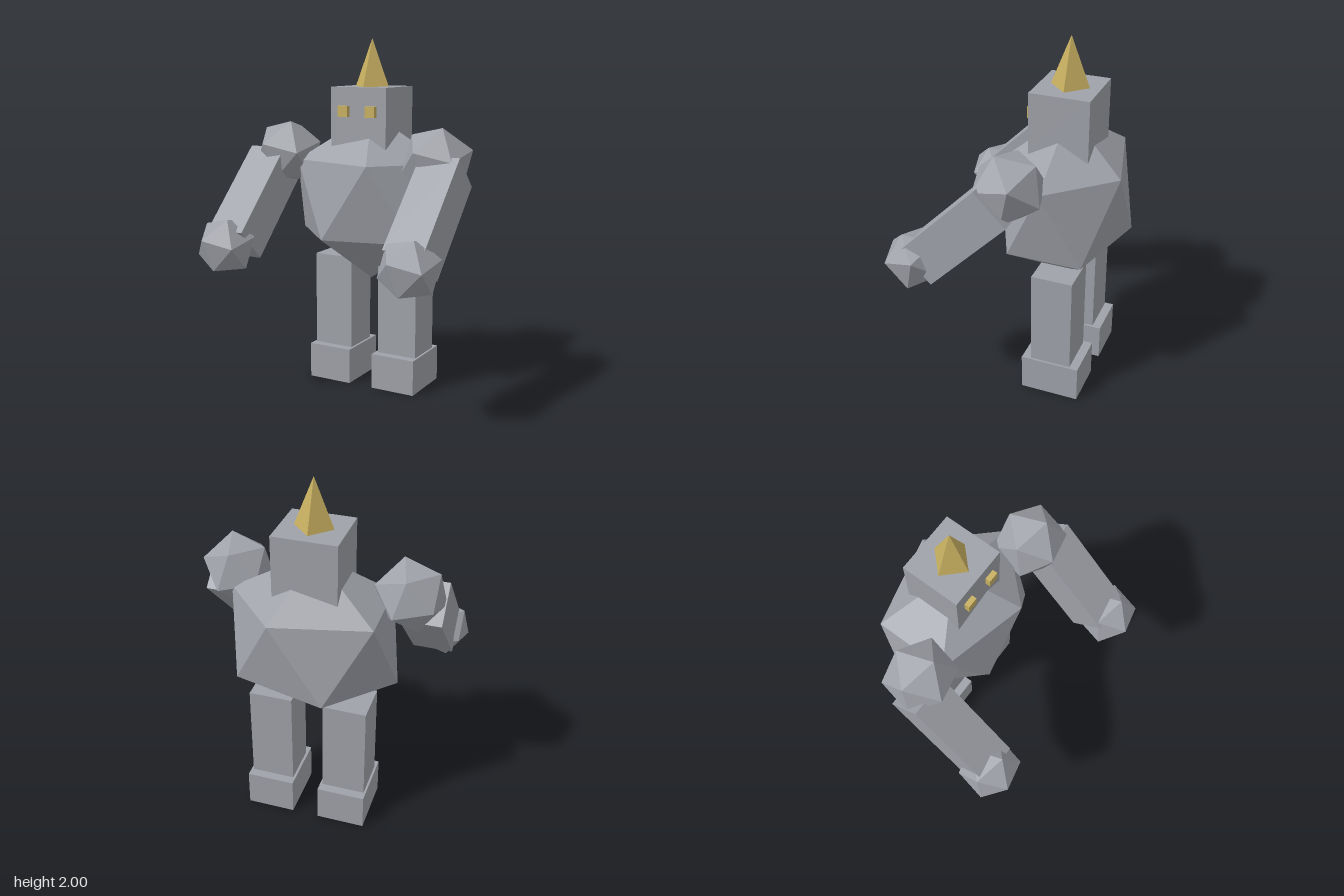
import * as THREE from 'three';

export function createModel() {
  const stone = new THREE.MeshStandardMaterial({ color: 0x9fa2a9, flatShading: true });
  stone.name = 'grey stone';
  const gold = new THREE.MeshStandardMaterial({ color: 0xc8b061, flatShading: true });
  gold.name = 'gold';

  const model = new THREE.Group();
  model.name = 'stoneGolem';
  const figure = new THREE.Group();
  figure.name = 'figure';
  figure.position.set(-0.025, 0, -0.247);
  figure.rotation.y = 0.043; // slight turn of the whole figure
  model.add(figure);

  const add = (parent, name, geometry, material, x, y, z) => {
    const mesh = new THREE.Mesh(geometry, material);
    mesh.name = name;
    mesh.position.set(x, y, z);
    parent.add(mesh);
    return mesh;
  };
  const box = (w, h, d) => new THREE.BoxGeometry(w, h, d);
  // Twenty-sided boulder standing on one of its points
  const boulder = (rx, ry = rx, rz = rx) =>
    new THREE.IcosahedronGeometry(1, 0)
      .rotateZ(-Math.atan(2 / (1 + Math.sqrt(5))))
      .scale(rx, ry, rz);

  // Torso, head and horn
  add(figure, 'torso', boulder(0.511, 0.48, 0.389), stone, 0, 1.105, 0);
  add(figure, 'head', box(0.346, 0.335, 0.326), stone, 0, 1.5655, 0);
  add(figure, 'horn', new THREE.ConeGeometry(0.105, 0.267, 4), gold, 0, 1.8665, 0);

  for (const side of [-1, 1]) {
    const label = side > 0 ? 'left' : 'right';

    add(figure, label + 'Eye', box(0.06, 0.06, 0.035), gold, side * 0.085, 1.6, 0.174);

    // Legs and feet
    add(figure, label + 'Leg', box(0.24, 0.55, 0.23), stone, side * 0.208, 0.475, -0.033);
    add(figure, label + 'Foot', box(0.266, 0.205, 0.33), stone, side * 0.207, 0.1025, -0.033);

    // Arm, swung forward from the shoulder
    const arm = new THREE.Group();
    arm.name = label + 'Arm';
    arm.position.set(side * 0.473, 1.351, 0.145);
    arm.rotation.x = -Math.PI / 4;
    figure.add(arm);
    add(arm, label + 'Shoulder', boulder(0.2), stone, 0, 0, 0);
    add(arm, label + 'Forearm', box(0.225, 0.6, 0.24), stone, side * 0.067, -0.354, -0.012);
    add(arm, label + 'Fist', boulder(0.17), stone, side * 0.086, -0.69, 0.018);
  }

  return model;
}
